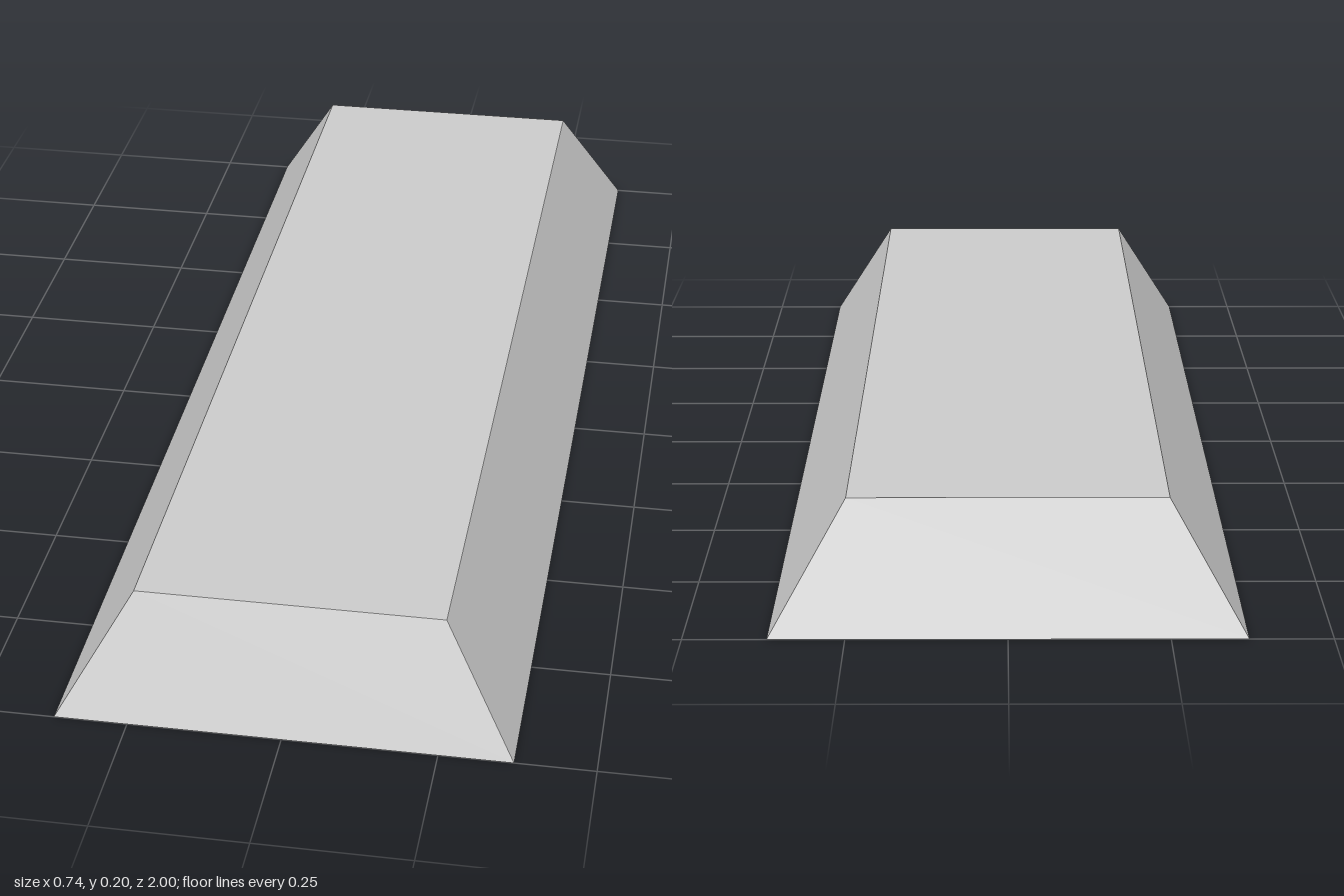
import * as THREE from 'three';

const material = new THREE.MeshStandardMaterial({ color: 0xcccccc, flatShading: true });

// Skin a stack of rectangular rings [halfWidth, y, halfLength], closing both ends
function rectLoft(rings) {
  const corners = [[1, 1], [1, -1], [-1, -1], [-1, 1]];
  const at = ([hx, y, hz], i) => [corners[i % 4][0] * hx, y, corners[i % 4][1] * hz];
  const positions = [];
  const quad = (a, b, c, d) => positions.push(...a, ...b, ...c, ...a, ...c, ...d);
  for (let r = 0; r < rings.length - 1; r++) {
    for (let i = 0; i < 4; i++) {
      quad(at(rings[r], i), at(rings[r + 1], i), at(rings[r + 1], i + 1), at(rings[r], i + 1));
    }
  }
  const first = rings[0], last = rings[rings.length - 1];
  quad(at(first, 0), at(first, 1), at(first, 2), at(first, 3));
  quad(at(last, 3), at(last, 2), at(last, 1), at(last, 0));
  const geometry = new THREE.BufferGeometry();
  geometry.setAttribute('position', new THREE.Float32BufferAttribute(positions, 3));
  geometry.computeVertexNormals();
  return geometry;
}

export function createModel() {
  const model = new THREE.Group();
  model.name = 'ceilingLight';

  // Hollow tapered housing, open underneath: outside, rim, then inside
  const housing = new THREE.Mesh(rectLoft([
    [0.25, 0.2, 0.915],
    [0.37, 0, 1],
    [0.35, 0, 0.98],
    [0.236, 0.19, 0.9],
  ]), material);
  housing.name = 'housing';
  model.add(housing);

  // Two lamp tubes running between the end walls
  const tubeGeometry = new THREE.CylinderGeometry(0.038, 0.038, 1.88, 8);
  tubeGeometry.rotateX(Math.PI / 2);
  for (const side of [-1, 1]) {
    const tube = new THREE.Mesh(tubeGeometry, material);
    tube.name = side > 0 ? 'leftLampTube' : 'rightLampTube';
    tube.position.set(side * 0.145, 0.1, 0);
    model.add(tube);
  }
  return model;
}
